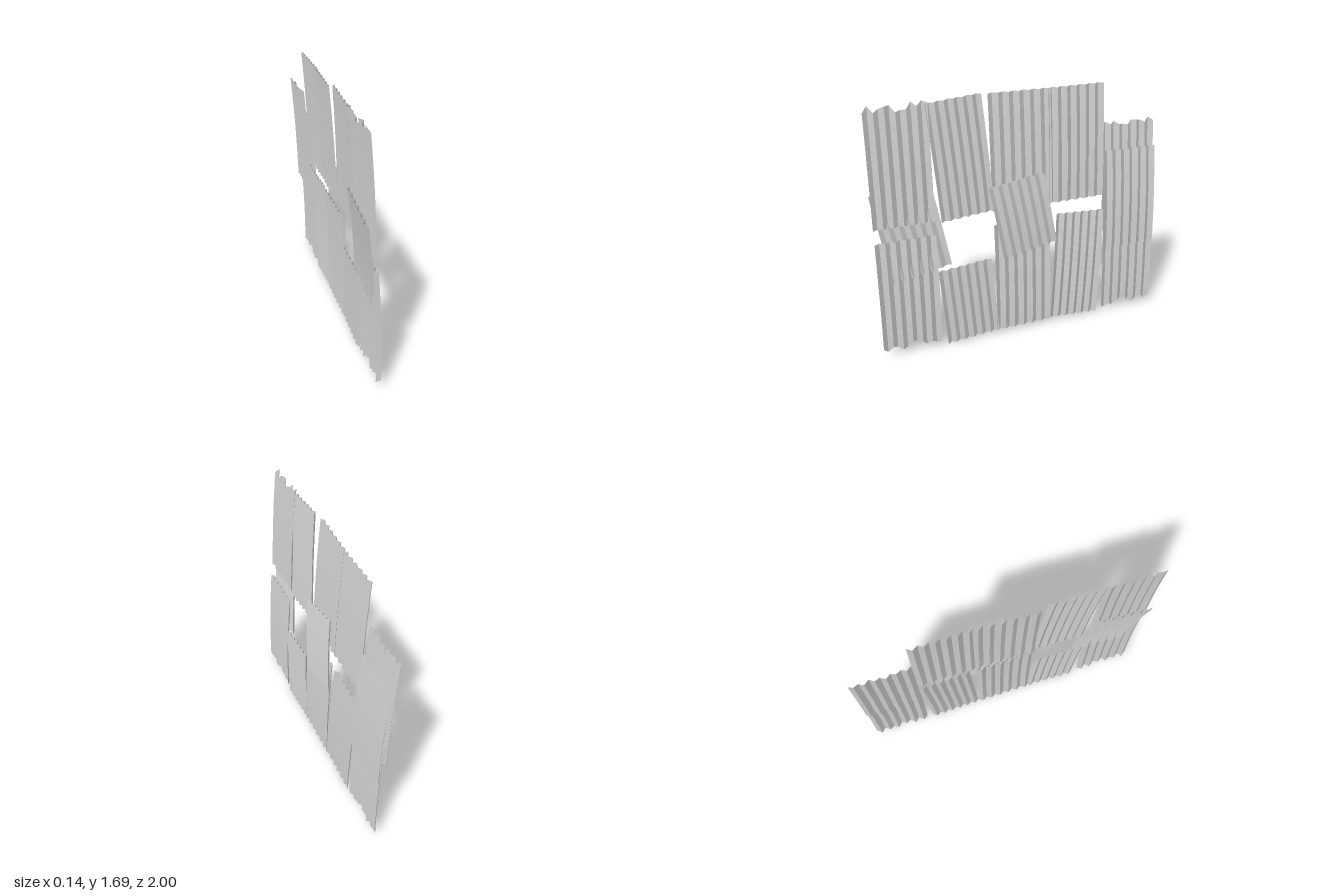
import * as THREE from 'three';

const FOLDS = 12;      // flat strips across a sheet
const DEPTH = 0.011;   // half depth of the corrugation
// How far the torn edge is bitten in at each fold
const TORN = [0.035, 0, 0.04, 0.025, 0.008, 0.008, 0.05, 0.045, 0.038, 0, 0.025, 0, 0.008];

const material = new THREE.MeshStandardMaterial({
  color: 0xcccccc, flatShading: true, side: THREE.DoubleSide,
});

// Corrugated sheet in the z-y plane, facing +x. z, y: centre; w, h: size;
// tilt: degrees; bend: x at bottom, middle and top; yaw: x slope across the sheet.
function sheet({ name, z, y, w = 0.4, h = 0.78, tilt = 0, bend, yaw = 0, tornTop = 0, tornBottom = 0, flip = false }) {
  const geo = new THREE.PlaneGeometry(w, h, FOLDS, 8);
  const pos = geo.attributes.position;
  const a = THREE.MathUtils.degToRad(tilt), c = Math.cos(a), s = Math.sin(a);
  const [b, m, t] = bend;
  for (let i = 0; i < pos.count; i++) {
    const fold = i % (FOLDS + 1);
    const bite = TORN[flip ? FOLDS - fold : fold];
    const k = pos.getY(i) / h + 0.5;
    const u = pos.getX(i);
    const v = -h / 2 + bite * tornBottom + k * (h - bite * (tornTop + tornBottom));
    // Quadratic through the three bend values, plus the zigzag folds
    const curve = b * (1 - k) * (1 - 2 * k) + 4 * m * k * (1 - k) + t * k * (2 * k - 1);
    const zigzag = fold % 2 ? -DEPTH : DEPTH;
    pos.setXYZ(i, curve + zigzag + yaw * u, y + u * s + v * c, z - u * c + v * s);
  }
  geo.computeVertexNormals();
  const mesh = new THREE.Mesh(geo, material);
  mesh.name = name;
  return mesh;
}

const UPPER = [0.008, -0.011, -0.042];
const LOWER = [0.056, 0.048, 0.022];

const SHEETS = [
  // Upper row
  { name: 'upperFrontSheet', z: 0.795, y: 1.29, bend: UPPER, tornTop: 1 },
  { name: 'upperTiltedSheet', z: 0.4, y: 1.287, w: 0.365, tilt: 4.6, bend: UPPER },
  { name: 'upperMiddleSheet', z: -0.01, y: 1.288, w: 0.42, bend: [0.002, -0.02, -0.054], yaw: 0.05 },
  { name: 'upperBackSheet', z: -0.405, y: 1.288, bend: UPPER },
  { name: 'upperRearSheet', z: -0.803, y: 1.01, w: 0.394, bend: UPPER, tornTop: 0.6, flip: true },
  // Lower row
  { name: 'lowerFrontSheet', z: 0.795, y: 0.42, bend: LOWER, tornBottom: 1 },
  { name: 'lowerShortSheet', z: 0.39, y: 0.292, w: 0.37, h: 0.55, tilt: 4.6, bend: [0.056, 0.053, 0.042] },
  { name: 'lowerMiddleSheet', z: 0, y: 0.42, bend: LOWER },
  { name: 'lowerTiltedSheet', z: -0.407, y: 0.417, w: 0.362, tilt: -3.6, bend: LOWER },
  { name: 'lowerRearSheet', z: -0.803, y: 0.42, w: 0.394, bend: LOWER, tornBottom: 1, flip: true },
  // Patches over the gaps
  { name: 'innerPatch', z: 0.75, y: 0.85, h: 0.6, tilt: 10, bend: [0.034, 0.004, -0.045] },
  { name: 'middlePatch', z: -0.005, y: 0.852, w: 0.39, h: 0.505, tilt: 9.6, bend: [0.06, 0.046, 0.018] },
  { name: 'rearPatch', z: -0.803, y: 0.855, w: 0.394, h: 0.71, bend: [0.052, 0.036, -0.002] },
];

export function createModel() {
  const group = new THREE.Group();
  group.name = 'corrugatedWall';
  for (const spec of SHEETS) group.add(sheet(spec));
  return group;
}
